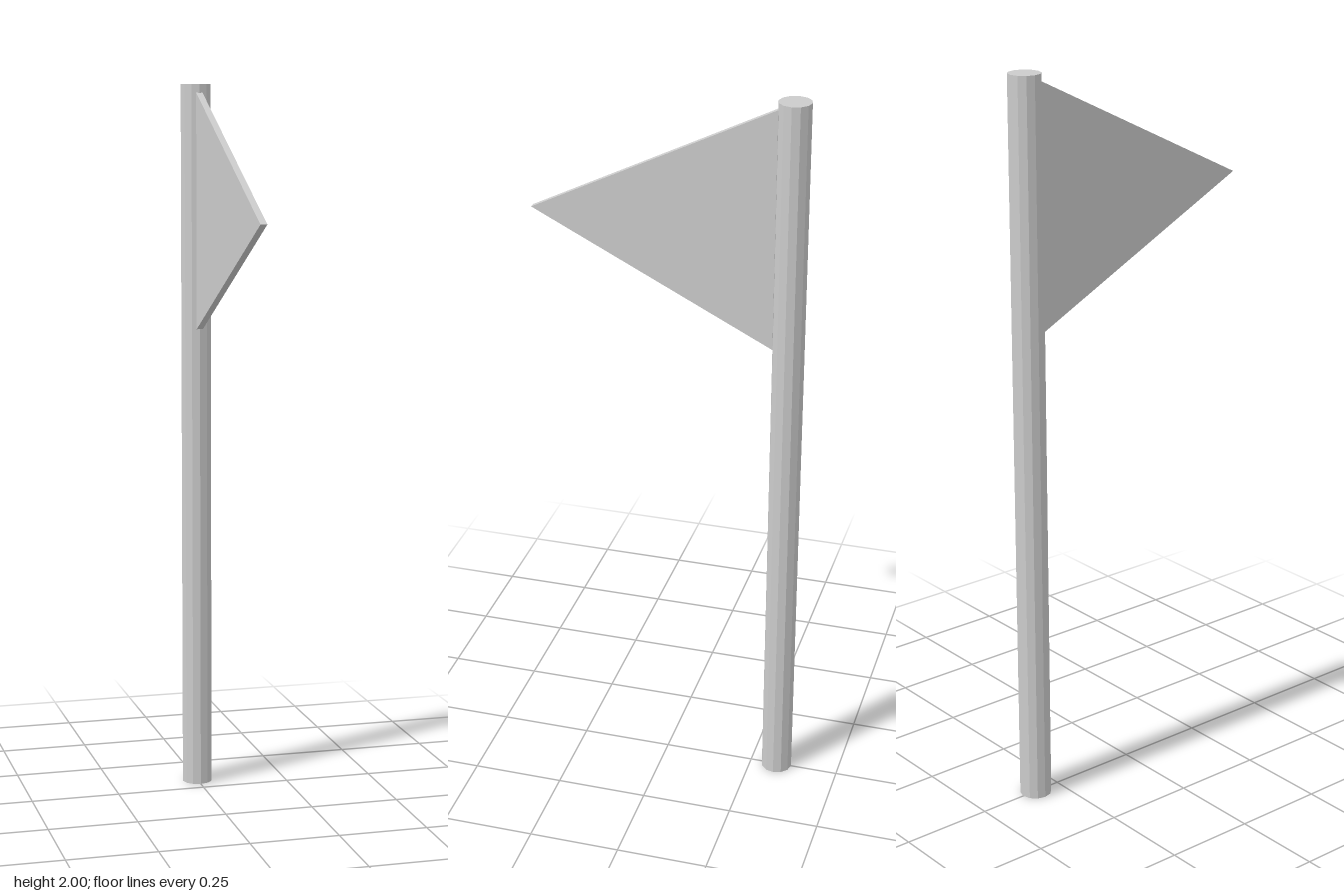
import * as THREE from 'three';

export function createModel() {
  const group = new THREE.Group();
  const material = new THREE.MeshStandardMaterial({ color: 0xcccccc, flatShading: true });
  const poleRadius = 0.043, poleZ = -0.325, thickness = 0.018;

  // Twelve-sided pole
  const pole = new THREE.Mesh(new THREE.CylinderGeometry(poleRadius, poleRadius, 2, 12), material);
  pole.name = 'pole';
  pole.position.set(0, 1, poleZ);
  group.add(pole);

  // Triangular pennant, drawn in profile and turned to point forward
  const baseZ = poleZ + poleRadius - 0.002;
  const outline = new THREE.Shape([
    new THREE.Vector2(baseZ, 1.323),
    new THREE.Vector2(0.368, 1.65),
    new THREE.Vector2(baseZ, 1.977),
  ]);
  const geometry = new THREE.ExtrudeGeometry(outline, { depth: thickness, bevelEnabled: false });
  geometry.translate(0, 0, -thickness / 2);
  geometry.rotateY(-Math.PI / 2);
  const pennant = new THREE.Mesh(geometry, material);
  pennant.name = 'pennant';
  group.add(pennant);

  return group;
}
